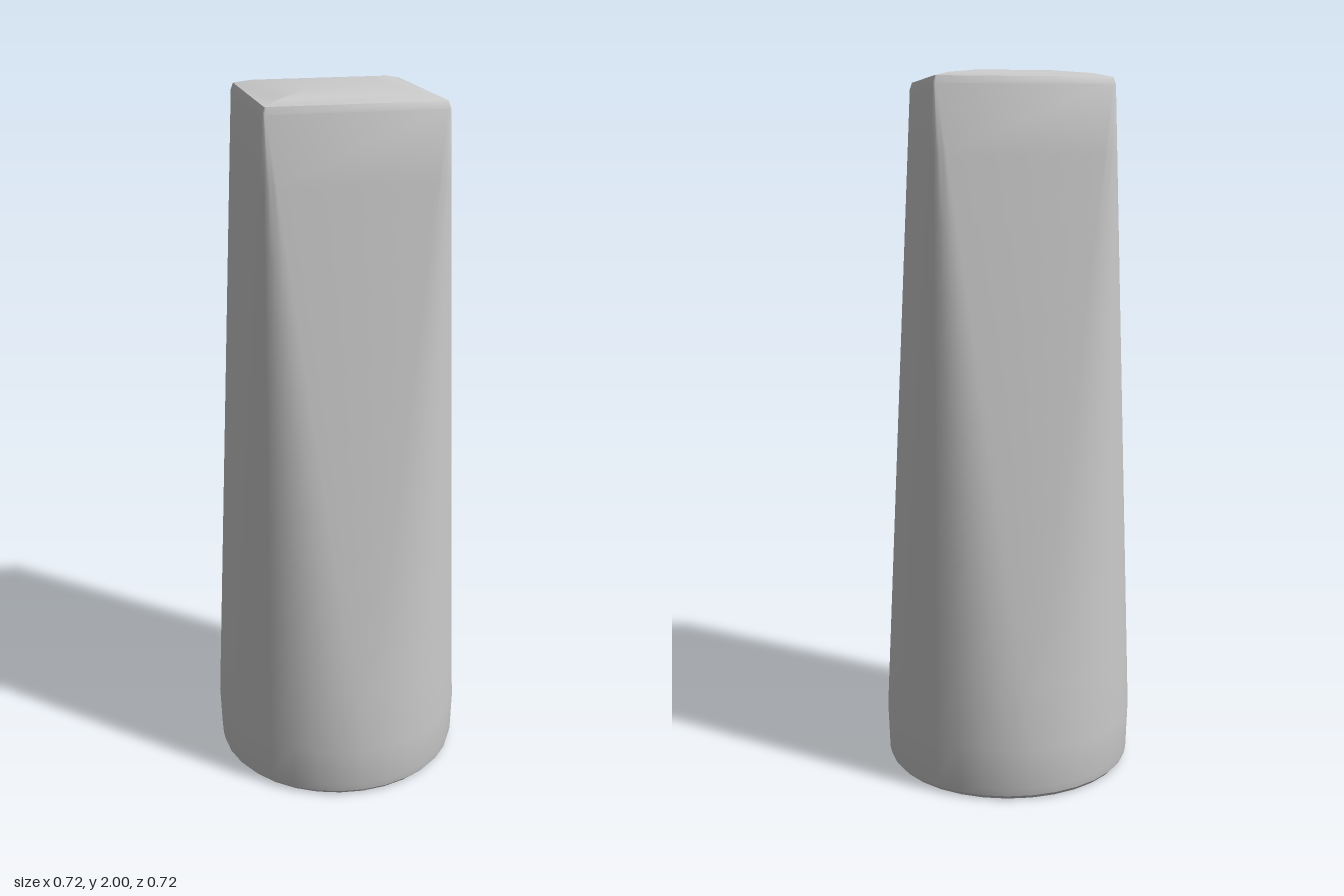
import * as THREE from 'three';
import { mergeVertices, toCreasedNormals } from 'three/addons/utils/BufferGeometryUtils.js';

const ARC = 8; // segments per rounded corner

// Cross-section at height y: a square of half-width h, grown outward by radius r
function section(y, h, r) {
  const points = [];
  for (let q = 0; q < 4; q++) {
    const mid = (q + 0.5) * Math.PI / 2;
    const cx = Math.sign(Math.cos(mid)) * h;
    const cz = Math.sign(Math.sin(mid)) * h;
    for (let i = 0; i <= ARC; i++) {
      const a = (q + i / ARC) * Math.PI / 2;
      points.push(new THREE.Vector3(cx + r * Math.cos(a), y, cz + r * Math.sin(a)));
    }
  }
  return points;
}

// Skin between successive sections, leaving out collapsed triangles
function loft(sections) {
  const positions = [];
  const triangle = new THREE.Triangle();
  const add = (a, b, c) => {
    if (triangle.set(a, b, c).getArea() > 1e-8) {
      positions.push(...a.toArray(), ...b.toArray(), ...c.toArray());
    }
  };
  for (let s = 0; s < sections.length - 1; s++) {
    const low = sections[s], high = sections[s + 1], n = low.length;
    for (let i = 0; i < n; i++) {
      const j = (i + 1) % n;
      add(low[i], high[i], low[j]);
      add(low[j], high[i], high[j]);
    }
  }
  const geometry = new THREE.BufferGeometry();
  geometry.setAttribute('position', new THREE.Float32BufferAttribute(positions, 3));
  return toCreasedNormals(mergeVertices(geometry, 1e-5), Math.PI / 6);
}

export function createModel() {
  const group = new THREE.Group();
  group.name = 'taperedPost';

  // Flat round foot with a softened rim
  const sections = [
    section(0, 0, 0),
    section(0, 0, 0.342),
    section(0.012, 0, 0.353),
    section(0.035, 0, 0.358),
  ];

  // Shaft blending from a circle to a square
  const steps = 10;
  for (let i = 0; i <= steps; i++) {
    const t = i / steps;
    sections.push(section(
      THREE.MathUtils.lerp(0.15, 1.955, t), 0.236 * t, THREE.MathUtils.lerp(0.362, 0.008, t)
    ));
  }

  // Slightly domed square cap
  sections.push(
    section(1.974, 0.232, 0.006),
    section(1.985, 0.19, 0.005),
    section(1.996, 0.1, 0.004),
    section(2, 0, 0)
  );

  const post = new THREE.Mesh(
    loft(sections),
    new THREE.MeshStandardMaterial({ color: 0xcccccc })
  );
  post.name = 'post';
  group.add(post);
  return group;
}
